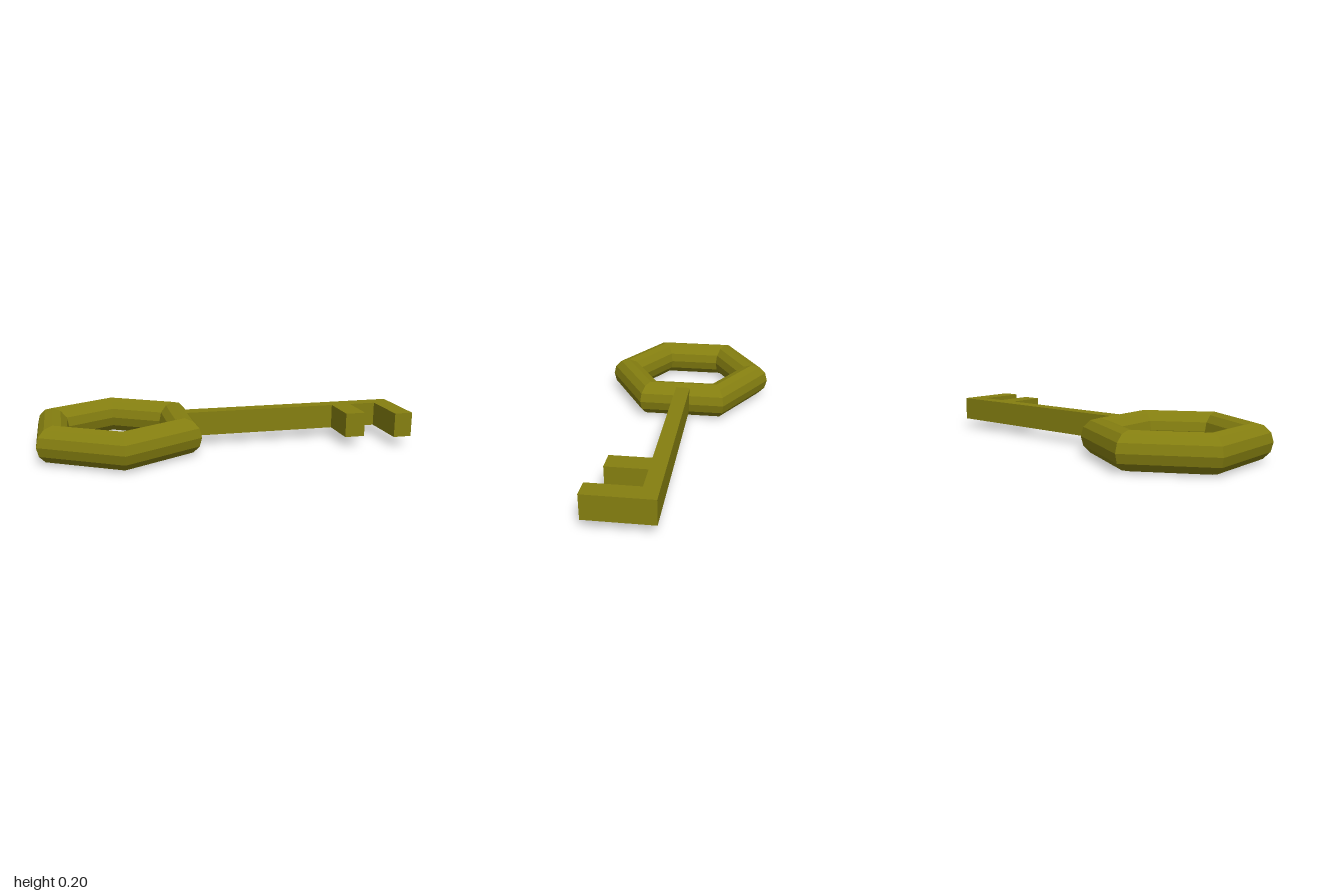
import * as THREE from 'three';

export function createModel() {
  const key = new THREE.Group();
  key.name = 'key';
  const material = new THREE.MeshStandardMaterial({ color: 0x857f10, flatShading: true });

  // Six-sided ring handle lying flat, with corners towards front and back
  const tube = 0.098;
  const ringGeometry = new THREE.TorusGeometry(0.388, tube, 12, 6);
  ringGeometry.rotateZ(Math.PI / 6);
  ringGeometry.rotateX(-Math.PI / 2);
  const handle = new THREE.Mesh(ringGeometry, material);
  handle.name = 'ringHandle';
  handle.position.set(-0.58, tube, 0);
  key.add(handle);

  // Shaft and its two teeth as one outline, given as [x, z]
  const outline = [
    [-0.25, -0.043], [-0.25, 0.037], [0.64, 0.037], [0.64, 0.25], [0.75, 0.25],
    [0.75, 0.037], [0.9, 0.037], [0.9, 0.307], [1, 0.307], [1, -0.043],
  ];
  const shape = new THREE.Shape(outline.map(([x, z]) => new THREE.Vector2(x, -z)));
  const shaftGeometry = new THREE.ExtrudeGeometry(shape, { depth: 0.132, bevelEnabled: false });
  shaftGeometry.rotateX(-Math.PI / 2);
  const shaft = new THREE.Mesh(shaftGeometry, material);
  shaft.name = 'toothedShaft';
  shaft.position.y = 0.052;
  key.add(shaft);

  return key;
}
